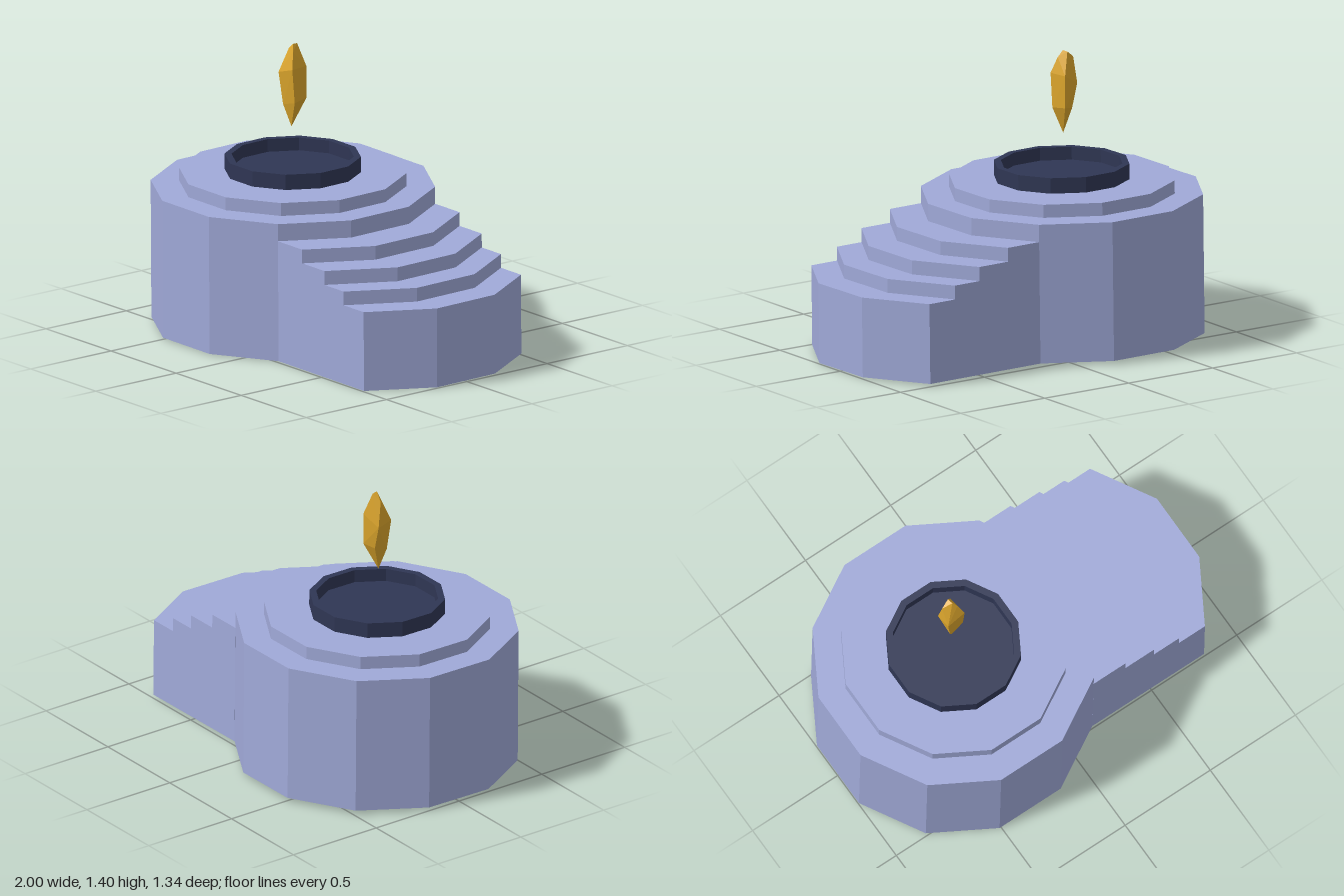
import * as THREE from 'three';
import { ConvexGeometry } from 'three/addons/geometries/ConvexGeometry.js';

const CX = -0.33; // axis of the round platform

const material = (color) => new THREE.MeshStandardMaterial({ color, flatShading: true });

// Corners of a regular twelve-sided outline with a flat side facing each axis
function ring(r) {
  return Array.from({ length: 12 }, (_, i) => {
    const a = ((i + 0.5) * Math.PI) / 6;
    return new THREE.Vector2(CX + r * Math.cos(a), r * Math.sin(a));
  });
}

// Upright prism from y0 to y1 with a plan outline and optional hole
function prism(name, outline, y0, y1, mat, hole) {
  const shape = new THREE.Shape(outline);
  if (hole) shape.holes.push(new THREE.Path(hole));
  const geo = new THREE.ExtrudeGeometry(shape, { depth: y1 - y0, bevelEnabled: false });
  geo.rotateX(-Math.PI / 2).translate(0, y0, 0);
  const mesh = new THREE.Mesh(geo, mat);
  mesh.name = name;
  return mesh;
}

export function createModel() {
  const model = new THREE.Group();
  model.name = 'steppedAltar';
  const stone = material(0xa0a9d8);
  const dark = material(0x2f3654);
  const gold = material(0xdba52c);

  // Pedestal leans very slightly
  const pedestal = new THREE.Group();
  pedestal.name = 'pedestal';
  pedestal.position.y = 0.011;
  pedestal.rotation.set(0.0115, 0, -0.005);
  model.add(pedestal);

  // Round tiers
  pedestal.add(prism('platform', ring(0.692), 0, 0.692, stone));
  pedestal.add(prism('upperTier', ring(0.553), 0.692, 0.757, stone));

  // Stairs: bands that repeat the faceted front of the platform
  const edge = (x) => [[x, 0.49], [x + 0.18, 0.18], [x + 0.18, -0.18], [x, -0.49]]
    .map(([px, py]) => new THREE.Vector2(px, py));
  const fronts = [0.159, 0.345, 0.515, 0.662, 0.815];
  const heights = [0.606, 0.537, 0.467, 0.398];
  heights.forEach((h, i) => {
    const outline = [...edge(fronts[i]), ...edge(fronts[i + 1]).reverse()];
    pedestal.add(prism('step' + (i + 1), outline, 0, h, stone));
  });

  // Shallow dark bowl: rim and floor
  pedestal.add(prism('bowlRim', ring(0.332), 0.757, 0.834, dark, ring(0.298)));
  pedestal.add(prism('bowlFloor', ring(0.298), 0.757, 0.77, dark));

  // Floating faceted flame
  const points = [
    [-0.335, 0.99, 0.01],
    [-0.366, 1.1, 0.037], [-0.285, 1.12, 0.03], [-0.3, 1.13, -0.055], [-0.36, 1.12, -0.03],
    [-0.385, 1.26, 0.05], [-0.285, 1.29, 0.045], [-0.3, 1.29, -0.055], [-0.39, 1.24, -0.03],
    [-0.38, 1.37, -0.01], [-0.31, 1.37, 0.02],
    [-0.33, 1.405, 0.005], [-0.335, 1.403, -0.025],
  ].map((p) => new THREE.Vector3(...p));
  const flame = new THREE.Mesh(new ConvexGeometry(points), gold);
  flame.name = 'flame';
  model.add(flame);

  return model;
}
